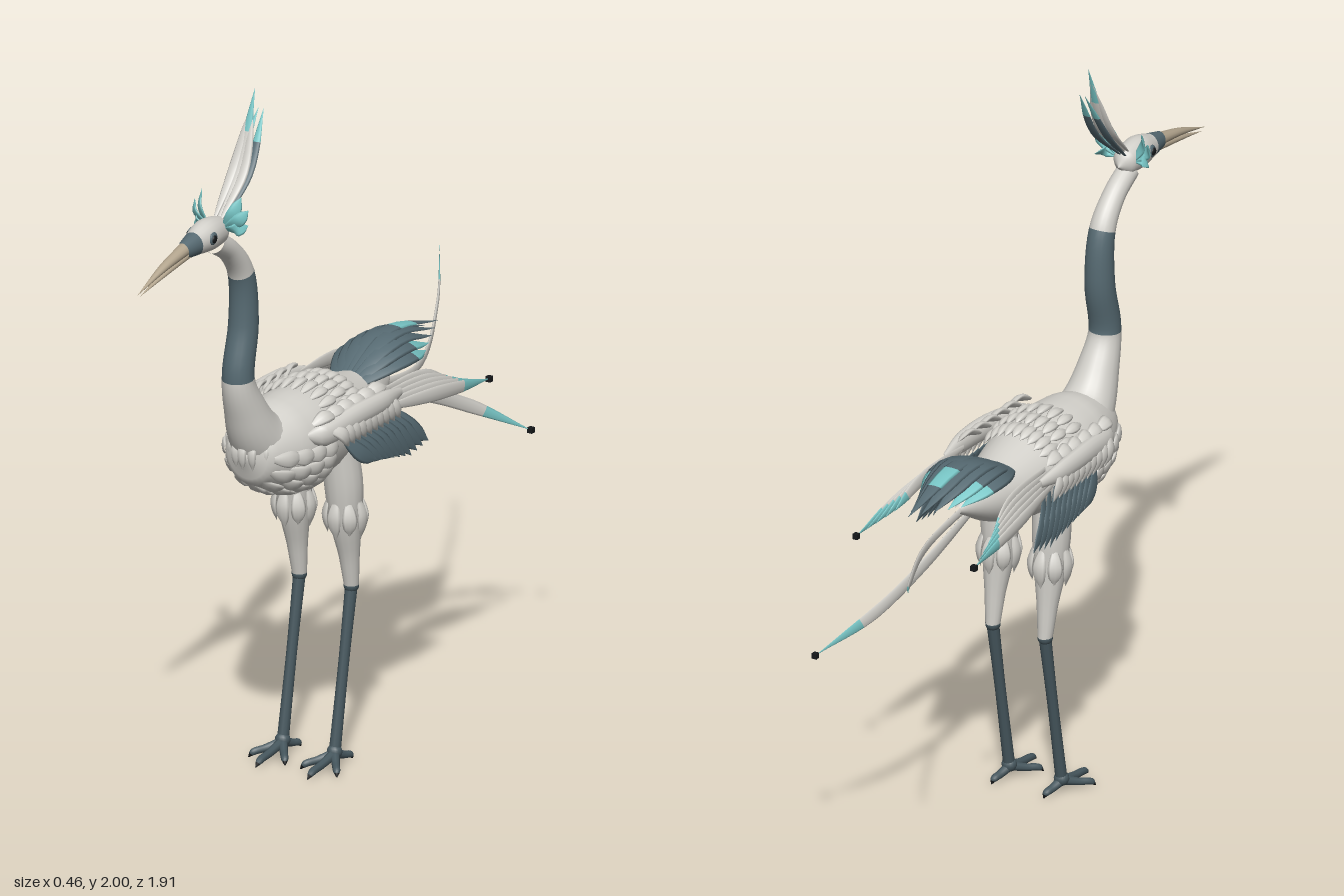
import * as THREE from 'three';

const mat = (name, color, side = THREE.FrontSide) => {
  const m = new THREE.MeshStandardMaterial({ color, side });
  m.name = name;
  return m;
};
const V = (x, y, z) => new THREE.Vector3(x, y, z);

// Elliptical tube through pts; radii are [width, height] pairs; bands are [endT, material] pairs.
function loft(name, pts, radii, bands, { side = V(1, 0, 0), segs = 16, radial = 14 } = {}) {
  const path = new THREE.CatmullRomCurve3(pts);
  const size = new THREE.CatmullRomCurve3(radii.map(([w, h]) => V(w, h ?? w, 0)));
  const pos = [], idx = [], geo = new THREE.BufferGeometry();
  for (let i = 0; i <= segs; i++) {
    const t = i / segs, c = path.getPoint(t), r = size.getPoint(t), T = path.getTangent(t);
    const S = side.clone().addScaledVector(T, -side.dot(T)).normalize();
    const N = T.clone().cross(S);
    for (let j = 0; j < radial; j++) {
      const a = j / radial * Math.PI * 2;
      const p = c.clone().addScaledVector(S, Math.cos(a) * Math.max(r.x, 0.0004))
        .addScaledVector(N, Math.sin(a) * Math.max(r.y, 0.0004));
      pos.push(p.x, p.y, p.z);
    }
  }
  let start = 0, k = 0;
  for (let i = 0; i < segs; i++) {
    while ((i + 0.5) / segs > bands[k][0]) {
      geo.addGroup(start, idx.length - start, k++);
      start = idx.length;
    }
    for (let j = 0; j < radial; j++) {
      const a = i * radial + j, b = i * radial + (j + 1) % radial;
      idx.push(a, b, b + radial, a, b + radial, a + radial);
    }
  }
  geo.addGroup(start, idx.length - start, k);
  geo.setAttribute('position', new THREE.Float32BufferAttribute(pos, 3));
  geo.setIndex(idx);
  geo.computeVertexNormals();
  const mesh = new THREE.Mesh(geo, bands.map(b => b[1]));
  mesh.name = name;
  return mesh;
}

// Thin leaf-shaped feather
const feather = (name, pts, width, side, bands, thick = 0.005) =>
  loft(name, pts, [0.35, 0.8, 1, 0.8, 0].map(f => [f * width, f * thick]), bands, { side, segs: 12, radial: 8 });

// Body cross-sections: z, centre height, half width, half height
const BODY = [[0.44, 0.965, 0.01, 0.01], [0.41, 0.965, 0.075, 0.08], [0.3, 0.955, 0.122, 0.125],
  [0.2, 0.95, 0.133, 0.133], [0.08, 0.95, 0.128, 0.128], [-0.05, 0.95, 0.1, 0.1],
  [-0.16, 0.96, 0.065, 0.068], [-0.27, 0.965, 0.01, 0.01]];

// Point on the body, angle measured from the top, lifted outward
function onBody(z, a, lift) {
  let i = 0;
  while (i < BODY.length - 2 && z < BODY[i + 1][0]) i++;
  const A = BODY[i], B = BODY[i + 1], f = (z - A[0]) / (B[0] - A[0]);
  const [cy, rx, ry] = [1, 2, 3].map(n => A[n] + (B[n] - A[n]) * f);
  return V(Math.sin(a) * (rx + lift), cy + Math.cos(a) * (ry + lift), z);
}

export function createModel() {
  const pale = mat('paleGrey', 0xd2d0ca), slate = mat('slate', 0x566a72), aqua = mat('aqua', 0x78c6c6);
  const horn = mat('horn', 0xb3a58e), leg = mat('legGrey', 0x47585f), black = mat('black', 0x15181a);
  const root = new THREE.Group(), bird = new THREE.Group();
  root.name = 'craneBird';
  bird.name = 'bird';
  bird.position.x = 0.04;
  root.add(bird);
  const group = (name, parent = bird) => {
    const g = new THREE.Group();
    g.name = name;
    parent.add(g);
    return g;
  };
  const ball = (name, g, r, x, y, z, m, sx = 1) => {
    const b = new THREE.Mesh(new THREE.SphereGeometry(r, 14, 10), m);
    b.name = name;
    b.scale.x = sx;
    b.position.set(x, y, z);
    g.add(b);
  };
  const dot = (g, p) => {
    const b = new THREE.Mesh(new THREE.BoxGeometry(0.015, 0.015, 0.015), black);
    b.name = 'tipBead';
    b.position.copy(p);
    g.add(b);
  };

  // Body, neck and head
  bird.add(loft('body', BODY.map(b => V(0, b[1], b[0])), BODY.map(b => [b[2], b[3]]), [[1, pale]],
    { segs: 35, radial: 28 }));
  bird.add(loft('neck', [[0.95, 0.3], [1.02, 0.38], [1.1, 0.427], [1.2, 0.463], [1.35, 0.437], [1.5, 0.45],
    [1.58, 0.51], [1.625, 0.58]].map(([y, z]) => V(0, y, z)),
  [[0.1], [0.075], [0.058], [0.044], [0.041], [0.036], [0.031], [0.03]],
  [[3 / 7, pale], [5 / 7, slate], [1, pale]], { segs: 42, radial: 20 }));
  const head = group('head');
  head.add(loft('skull', [V(0, 1.65, 0.53), V(0, 1.655, 0.56), V(0, 1.66, 0.62), V(0, 1.655, 0.68), V(0, 1.65, 0.735)],
    [[0, 0], [0.034, 0.038], [0.041, 0.045], [0.031, 0.034], [0.02, 0.024]],
    [[0.76, pale], [1, slate]], { segs: 25, radial: 20 }));
  head.add(loft('upperBeak', [V(0, 1.657, 0.71), V(0, 1.635, 0.83), V(0, 1.597, 0.96)],
    [[0.021, 0.019], [0.013, 0.011], [0, 0]], [[1, horn]]));
  head.add(loft('lowerBeak', [V(0, 1.639, 0.71), V(0, 1.617, 0.83), V(0, 1.59, 0.945)],
    [[0.018, 0.013], [0.011, 0.008], [0, 0]], [[1, horn]]));
  for (const s of [-1, 1]) {
    ball('eyeRing', head, 0.018, s * 0.035, 1.663, 0.64, slate, 0.4);
    ball('eye', head, 0.011, s * 0.04, 1.663, 0.642, black, 0.5);
    for (const [x, y, z] of [[0.085, 1.722, 0.545], [0.062, 1.755, 0.545], [0.075, 1.672, 0.53]])
      head.add(feather('earTuft', [V(s * 0.025, 1.665, 0.57), V(s * (x * 0.65 + 0.012), y * 0.5 + 0.835, 0.57), V(s * x, y, z)],
        0.02, V(-s * 0.5, 0.5, 0.5), [[1, aqua]], 0.004));
    head.add(feather('rearCrest', [V(s * 0.008, 1.68, 0.55), V(s * 0.02, 1.78, 0.445), V(s * 0.008, 1.935, 0.35)],
      0.015, V(1, 0, 0), [[0.75, slate], [1, aqua]]));
    head.add(feather('frontCrest', [V(s * 0.01, 1.69, 0.56), V(s * 0.017, 1.79, 0.463), V(s * 0.004, 1.95, 0.395)],
      0.015, V(1, 0, 0), [[1, pale]], 0.006));
  }
  head.add(feather('middleCrest', [V(0, 1.69, 0.555), V(0, 1.79, 0.46), V(0, 2, 0.38)], 0.018, V(1, 0, 0),
    [[0.75, pale], [1, aqua]], 0.006));

  // Overlapping feathers on chest and back
  const scales = group('bodyFeathers');
  const scaleRow = (name, z, from, to, n, len, w) => {
    for (let i = 0; i < n; i++) {
      const a = from + (to - from) * i / (n - 1);
      scales.add(feather(name, [onBody(z, a, 0), onBody(z - len / 2, a, 0.011), onBody(z - len, a, 0.008)], w,
        V(Math.cos(a), -Math.sin(a), 0), [[1, pale]], 0.008));
    }
  };
  [0.405, 0.36, 0.31, 0.26].forEach((z, r) => {
    const n = 7 + r * 2, spread = 1.55;
    scaleRow('chestFeather', z, Math.PI - spread, Math.PI + spread, n, 0.075, 0.024);
  });
  [0.2, 0.14, 0.08].forEach((z, r) => scaleRow('backFeather', z, -0.95 + r * 0.08, 0.95 - r * 0.08, 9, 0.08, 0.015));
  for (let i = -2; i <= 2; i++)
    scales.add(feather('throatFeather', [V(i * 0.024, 1.02, 0.43 - 0.008 * i * i), V(i * 0.026, 0.98, 0.445 - 0.008 * i * i),
      V(i * 0.026, 0.93, 0.44 - 0.008 * i * i)], 0.014, V(1, 0, 0), [[1, pale]], 0.008));

  for (const s of [-1, 1]) {
    const P = (x, y, z) => V(s * x, y, z), label = s > 0 ? 'left' : 'right';

    // Folded wing
    const wing = group(label + 'Wing');
    wing.add(loft('wingArm', [P(0.1, 1.0, 0.3), P(0.135, 1.0, 0.25), P(0.155, 1.015, 0.13), P(0.16, 1.015, 0), P(0.15, 1.01, -0.1)],
      [[0, 0], [0.024, 0.035], [0.024, 0.034], [0.02, 0.03], [0.008, 0.012]], [[1, pale]]));
    for (let i = 0; i < 10; i++) {
      const z = 0.18 - 0.028 * i, y = 0.975 - 0.001 * i;
      wing.add(feather('secondaryFeather', [P(0.145, y, z), P(0.172, y - 0.06, z - 0.05), P(0.184, y - 0.135 + 0.006 * Math.abs(i - 6), z - 0.115)],
        0.024, V(0, 1, -1), [[1, slate]]));
      wing.add(feather('covertFeather', [P(0.15, 1.015, z + 0.07), P(0.173, 0.995, z + 0.035), P(0.172, 0.95, z + 0.005)],
        0.02, V(0, 1, -1), [[1, pale]], 0.008));
    }
    for (let i = 0; i < 6; i++)
      wing.add(feather('shoulderFeather', [P(0.125, 1.035, 0.29 - 0.05 * i), P(0.138, 1.05, 0.25 - 0.05 * i), P(0.14, 1.04, 0.2 - 0.05 * i)],
        0.02, V(s, -0.8, 0), [[1, pale]], 0.008));
    for (let i = 0; i < 5; i++) {
      const d = (i - 2) / 2, tip = P(0.185 - 0.008 * i, 0.94 + 0.012 * d, -0.485 + 0.035 * i);
      wing.add(feather('primaryFeather', [P(0.152 - 0.006 * i, 1.005 + 0.02 * d, -0.04), P(0.178 - 0.01 * i, 0.985 + 0.02 * d, -0.24), tip],
        0.021, V(0, 1, 0), [[0.78, pale], [1, aqua]], 0.006));
      if (i === 0) dot(wing, tip);
    }

    // Leg and foot
    const limb = group(label + 'Leg');
    limb.add(loft('thigh', [P(0.072, 0.92, 0.085), P(0.08, 0.8, 0.07), P(0.081, 0.68, 0.06), P(0.082, 0.58, 0.045), P(0.082, 0.485, 0.033)],
      [[0.05], [0.053], [0.044], [0.029], [0.02]], [[1, pale]]));
    for (let i = 0; i < 8; i++) {
      const a = i / 8 * Math.PI * 2, c = Math.cos(a), n = Math.sin(a);
      const at = (r, y, z) => V(s * 0.081 + c * r, y, z + n * r);
      limb.add(feather('thighFeather', [at(0.045, 0.75, 0.065), at(0.056, 0.7, 0.062), at(0.048, 0.64 + 0.012 * (i % 2), 0.06)],
        0.021, V(-n, 0, c), [[1, pale]], 0.007));
    }
    limb.add(loft('shank', [P(0.082, 0.495, 0.032), P(0.082, 0.27, 0.073), P(0.082, 0.035, 0.116)],
      [[0.017], [0.0145], [0.016]], [[1, leg]], { radial: 10 }));
    ball('hock', limb, 0.021, s * 0.082, 0.488, 0.034, leg);
    ball('ankle', limb, 0.021, s * 0.082, 0.04, 0.116, leg);
    for (const [x, z] of [[0, 0.25], [0.058, 0.195], [-0.058, 0.195], [0.015, 0.05]])
      limb.add(loft('toe', [V(s * 0.082, 0.035, 0.116), V(s * 0.082 + x * 0.5, 0.022, 0.116 + (z - 0.116) * 0.5),
        V(s * 0.082 + x * 0.85, 0.016, 0.116 + (z - 0.116) * 0.85), V(s * 0.082 + x, 0.003, z)],
      [[0.014], [0.011], [0.01], [0.001]], [[0.8, leg], [1, black]], { side: V(0, 1, 0), radial: 8 }));
  }

  // Arched tail plume
  const tail = group('tail');
  for (let i = -4; i <= 4; i++) {
    const k = i / 4, q = Math.abs(k);
    const bands = Math.abs(i) > 2 ? [[0.68, slate], [1, aqua]]
      : i === 0 ? [[0.58, slate], [0.76, aqua], [1, slate]] : [[1, slate]];
    tail.add(feather('plumeFeather', [V(k * 0.035, 1.015, -0.05), V(k * 0.09, 1.098 - 0.045 * q * q, -0.26 + 0.05 * q),
      V(k * 0.065, 1.045 - 0.02 * q, -0.52 + 0.16 * q)], 0.027, V(1, -0.45 * k, 0), bands));
  }

  // Long tail streamers
  tail.add(loft('longStreamer', [V(0, 0.97, -0.15), V(-0.01, 0.935, -0.43), V(-0.155, 0.985, -0.76), V(-0.27, 1.062, -0.95)],
    [[0.012, 0.006], [0.014, 0.005], [0.011, 0.004], [0, 0]], [[0.8, pale], [1, aqua]], { side: V(0, 1, 0), segs: 24, radial: 8 }));
  const end = V(0.15, 0.69, -0.745);
  tail.add(loft('lowStreamer', [V(0, 0.95, -0.16), V(0.005, 0.87, -0.42), V(0.05, 0.785, -0.6), end],
    [[0.012, 0.006], [0.02, 0.006], [0.019, 0.005], [0, 0]], [[0.76, pale], [1, aqua]], { side: V(0, 1, 0), segs: 24, radial: 8 }));
  dot(tail, end);
  return root;
}
